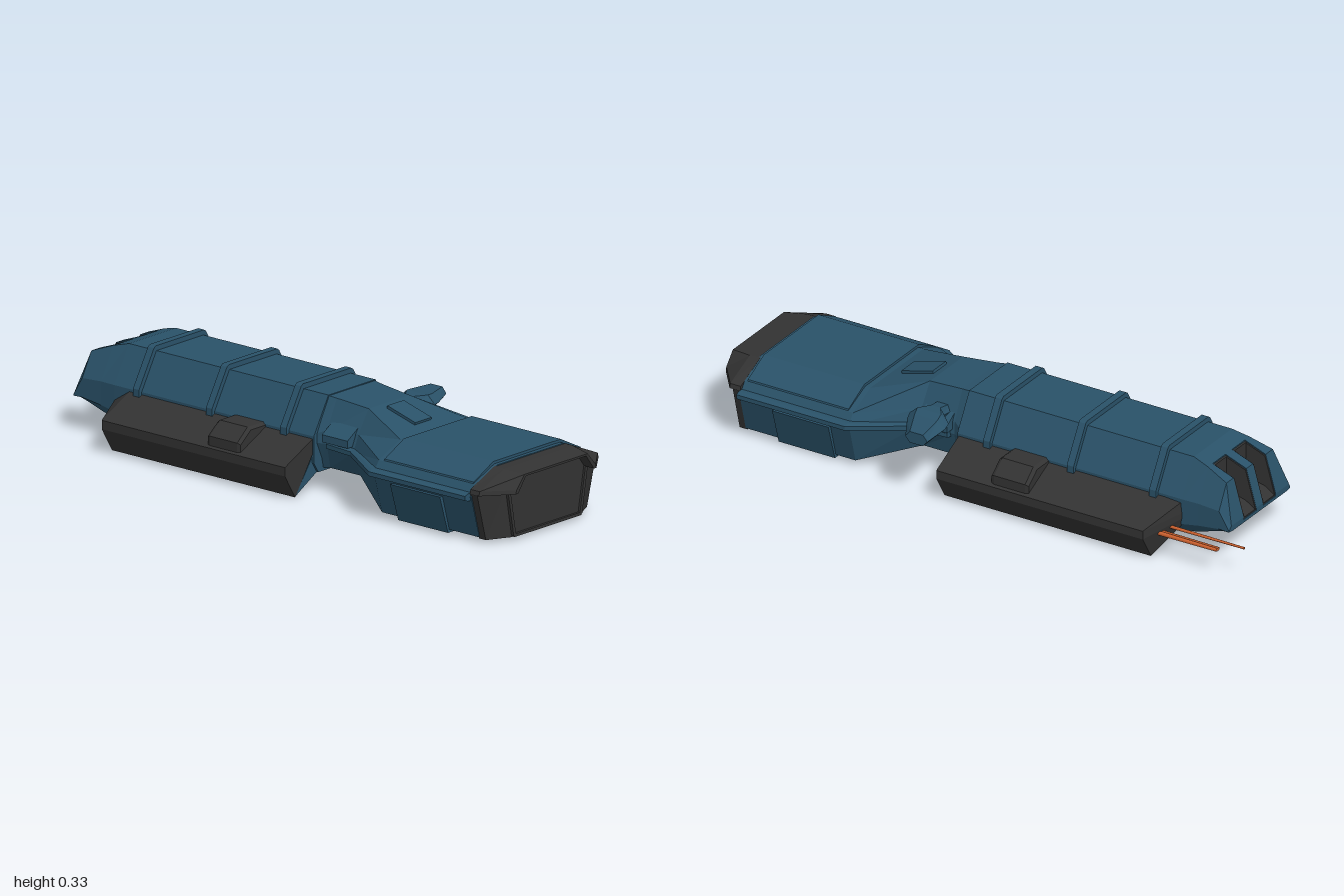
import * as THREE from 'three';

const CX = -0.018; // hull centre line

// Skins a list of [z, polygon] sections (counter-clockwise, z decreasing), with caps.
function loft(sections) {
  const pos = [];
  const put = (s, i) => pos.push(s[1][i][0], s[1][i][1], s[0]);
  const n = sections[0][1].length;
  for (let k = 0; k < sections.length - 1; k++) {
    const a = sections[k], b = sections[k + 1];
    for (let i = 0; i < n; i++) {
      const j = (i + 1) % n;
      put(a, i); put(b, i); put(b, j);
      put(a, i); put(b, j); put(a, j);
    }
  }
  const cap = (s, flip) => {
    const v = s[1].map(p => new THREE.Vector2(p[0], p[1]));
    for (const t of THREE.ShapeUtils.triangulateShape(v, [])) {
      (flip ? [t[2], t[1], t[0]] : t).forEach(i => put(s, i));
    }
  };
  cap(sections[0], false);
  cap(sections[sections.length - 1], true);
  const g = new THREE.BufferGeometry();
  g.setAttribute('position', new THREE.Float32BufferAttribute(pos, 3));
  g.computeVertexNormals();
  return g;
}

const flipX = pts => pts.map(([x, y]) => [-x, y]).reverse();
// Closed symmetric section from its right half, listed bottom to top
const sym = half => [...half, ...flipX(half)];
// Arch-shaped section from outer and inner right halves
const arch = (outer, inner) => [...sym(outer), ...sym(inner).reverse()];

export function createModel() {
  const model = new THREE.Group();
  const hull = new THREE.Group();
  hull.name = 'hull';
  hull.position.x = CX;
  model.add(hull);

  const mat = (name, color) => {
    const m = new THREE.MeshStandardMaterial({ color });
    m.name = name;
    return m;
  };
  const blue = mat('blue plating', 0x2a5269);
  const dark = mat('dark armour', 0x333333);
  const orange = mat('orange barrels', 0xd0622f);

  const add = (name, geo, material, parent = hull) => {
    const m = new THREE.Mesh(geo, material);
    m.name = name;
    parent.add(m);
    return m;
  };
  const box = (name, w, h, d, x, y, z, material) => {
    const m = add(name, new THREE.BoxGeometry(w, h, d), material);
    m.position.set(x, y, z);
    return m;
  };

  // Head and neck
  const headHalf = [[0.25, 0.02], [0.29, 0.165], [0.265, 0.2], [0.16, 0.245]];
  add('head', loft([
    [0.89, sym(headHalf)],
    [0.47, sym(headHalf)],
    [0.28, sym([[0.14, 0.08], [0.175, 0.165], [0.15, 0.22], [0.1, 0.297]])],
    [0.15, sym([[0.14, 0.08], [0.158, 0.165], [0.155, 0.21], [0.108, 0.308]])],
    [0.1, sym([[0.14, 0.07], [0.18, 0.165], [0.18, 0.19], [0.115, 0.313]])],
  ]), blue);
  const coverHalf = [[0.268, 0.19], [0.26, 0.206], [0.165, 0.254]];
  add('headCover', loft([[0.875, sym(coverHalf)], [0.49, sym(coverHalf)]]), blue);
  const flange = w => sym([[w - 0.015, 0.152], [w, 0.157], [w, 0.172], [w - 0.015, 0.177]]);
  add('flange', loft([[0.885, flange(0.315)], [0.47, flange(0.315)],
    [0.28, flange(0.19)], [0.165, flange(0.178)]]), blue);
  const pad = sym([[0.256, 0.01], [0.296, 0.14]]);
  add('bellyPad', loft([[0.76, pad], [0.545, pad]]), blue);
  const hatch = box('hatch', 0.08, 0.02, 0.125, 0, 0.273, 0.365, blue);
  hatch.rotation.x = 0.27;

  // Dark nose: lower block, framed panel and overhanging hood
  const noseHalf = [[0.247, 0.015], [0.29, 0.178]];
  add('noseLower', loft([
    [0.955, sym([[0.168, 0.015], [0.195, 0.178]])],
    [0.915, sym(noseHalf)],
    [0.886, sym(noseHalf)],
  ]), dark);
  const opening = [[0.185, 0.175], [0.147, 0.226]];
  add('noseHood', loft([
    [1.0, arch([[0.197, 0.175], [0.193, 0.188], [0.154, 0.233]], opening)],
    [0.925, arch([[0.292, 0.175], [0.288, 0.19], [0.17, 0.24]], opening)],
    [0.885, arch([[0.292, 0.175], [0.288, 0.19], [0.17, 0.242]], opening)],
  ]), dark);
  const panel = [[0.155, 0.027], [0.183, 0.18], [0.147, 0.226]];
  add('nosePanel', loft([[0.958, sym(panel)], [0.9, sym(panel)]]), dark);
  for (const s of [-1, 1]) {
    const post = [[0.155, 0.02], [0.167, 0.02], [0.195, 0.178], [0.183, 0.178]];
    const p = s > 0 ? post : flipX(post);
    add('frameSide', loft([[0.965, p], [0.945, p]]), dark);
  }
  box('frameSill', 0.325, 0.01, 0.02, 0, 0.021, 0.955, dark);

  // Main body
  const bodyHalf = [[0.165, 0.065], [0.187, 0.1], [0.187, 0.19], [0.115, 0.314]];
  add('body', loft([
    [0.12, sym(bodyHalf)],
    [-0.74, sym(bodyHalf)],
    [-0.8, sym([[0.165, 0.08], [0.185, 0.11], [0.185, 0.19], [0.125, 0.298]])],
  ]), blue);

  // Raised bands around the body
  for (const z of [0, -0.32, -0.635]) {
    const rib = arch([[0.2, 0.175], [0.2, 0.2], [0.127, 0.325], [0.118, 0.331]],
      [[0.18, 0.175], [0.18, 0.188], [0.12, 0.3], [0.11, 0.308]]);
    add('rib', loft([[z + 0.013, rib], [z - 0.013, rib]]), blue);
  }

  // Tail with two open exhaust slots
  const tail = (by, sy, hy, topX, top, floor) => sym([
    [0.165, by], [0.185, sy], [0.185, hy], [topX, top],
    [0.097, top], [0.097, floor], [0.02, floor], [0.02, top],
  ]);
  add('tail', loft([
    [-0.8, tail(0.08, 0.11, 0.19, 0.125, 0.298, 0.17)],
    [-0.88, tail(0.105, 0.12, 0.185, 0.14, 0.268, 0.15)],
    [-0.918, tail(0.115, 0.118, 0.122, 0.17, 0.135, 0.126)],
  ]), blue);
  const lining = (floor, top) => [
    [0.02, floor], [0.097, floor], [0.097, top], [0.092, top],
    [0.092, floor + 0.005], [0.025, floor + 0.005], [0.025, top], [0.02, top],
  ];
  for (const s of [-1, 1]) {
    const side = pts => (s > 0 ? pts : flipX(pts));
    add('exhaustLining', loft([
      [-0.801, side(lining(0.17, 0.294))],
      [-0.88, side(lining(0.15, 0.264))],
      [-0.916, side(lining(0.127, 0.137))],
    ]), dark);
    box('exhaustBack', 0.075, 0.122, 0.008, s * 0.0585, 0.233, -0.804, dark);
  }

  // Side pods with blue inner faces, a small box on top, and sockets on the neck
  const podHalf = [[0.272, 0.003], [0.322, 0.085], [0.322, 0.115], [0.185, 0.182], [0.15, 0.185]];
  const podEnd = [[0.175, 0.1], [0.185, 0.12], [0.185, 0.14], [0.175, 0.182], [0.15, 0.185]];
  const inner = [[0.15, 0.17], [0.15, 0.068], [0.165, 0.064], [0.27, 0.0045]];
  const innerEnd = [[0.15, 0.17], [0.15, 0.1], [0.16, 0.1], [0.174, 0.101]];
  const bump = [[0.18, 0.12], [0.312, 0.12], [0.312, 0.152], [0.262, 0.195], [0.18, 0.195]];
  const bumpEnd = [[0.18, 0.12], [0.308, 0.12], [0.308, 0.147], [0.258, 0.187], [0.18, 0.187]];
  const socket = [[0.12, 0.18], [0.19, 0.18], [0.19, 0.205], [0.13, 0.243], [0.12, 0.243]];
  for (const s of [-1, 1]) {
    const side = pts => (s > 0 ? pts : flipX(pts));
    add('pod', loft([[0.115, side(podHalf)], [-0.675, side(podHalf)], [-0.74, side(podEnd)]]), dark);
    add('podInnerFace', loft([[0.113, side(inner)], [-0.673, side(inner)], [-0.738, side(innerEnd)]]), blue);
    add('podBox', loft([[-0.088, side(bumpEnd)], [-0.1, side(bump)],
      [-0.218, side(bump)], [-0.23, side(bumpEnd)]]), dark);
    add('neckSocket', loft([[0.268, side(socket)], [0.158, side(socket)]]), blue);
  }

  // Small fin on the left of the neck, skinned along x
  const fin = (z, w, lo, hi) => {
    const m = (lo + hi) / 2;
    return [[-z - w * 0.6, lo], [-z + w * 0.6, lo], [-z + w, m], [-z + w * 0.6, hi], [-z - w * 0.6, hi], [-z - w, m]];
  };
  add('fin', loft([
    [0.338, fin(0.17, 0.042, 0.21, 0.25)],
    [0.24, fin(0.195, 0.072, 0.21, 0.258)],
    [0.205, fin(0.205, 0.075, 0.21, 0.263)],
    [0.165, fin(0.205, 0.03, 0.215, 0.262)],
    [0.11, fin(0.21, 0.035, 0.21, 0.25)],
  ]).rotateY(Math.PI / 2), blue, model);

  // Rear gun barrels: [x, y, front z, rear z, front radius, rear radius]
  for (const [x, y, z0, z1, r0, r1] of [
    [0.202, 0.099, -0.68, -1.0, 0.006, 0.004],
    [0.232, 0.088, -0.66, -0.92, 0.008, 0.006],
    [0.242, 0.088, -0.66, -0.92, 0.008, 0.006],
  ]) {
    const g = new THREE.CylinderGeometry(r0, r1, z0 - z1, 8).rotateX(Math.PI / 2);
    add('barrel', g, orange, model).position.set(x, y, (z0 + z1) / 2);
  }

  return model;
}
